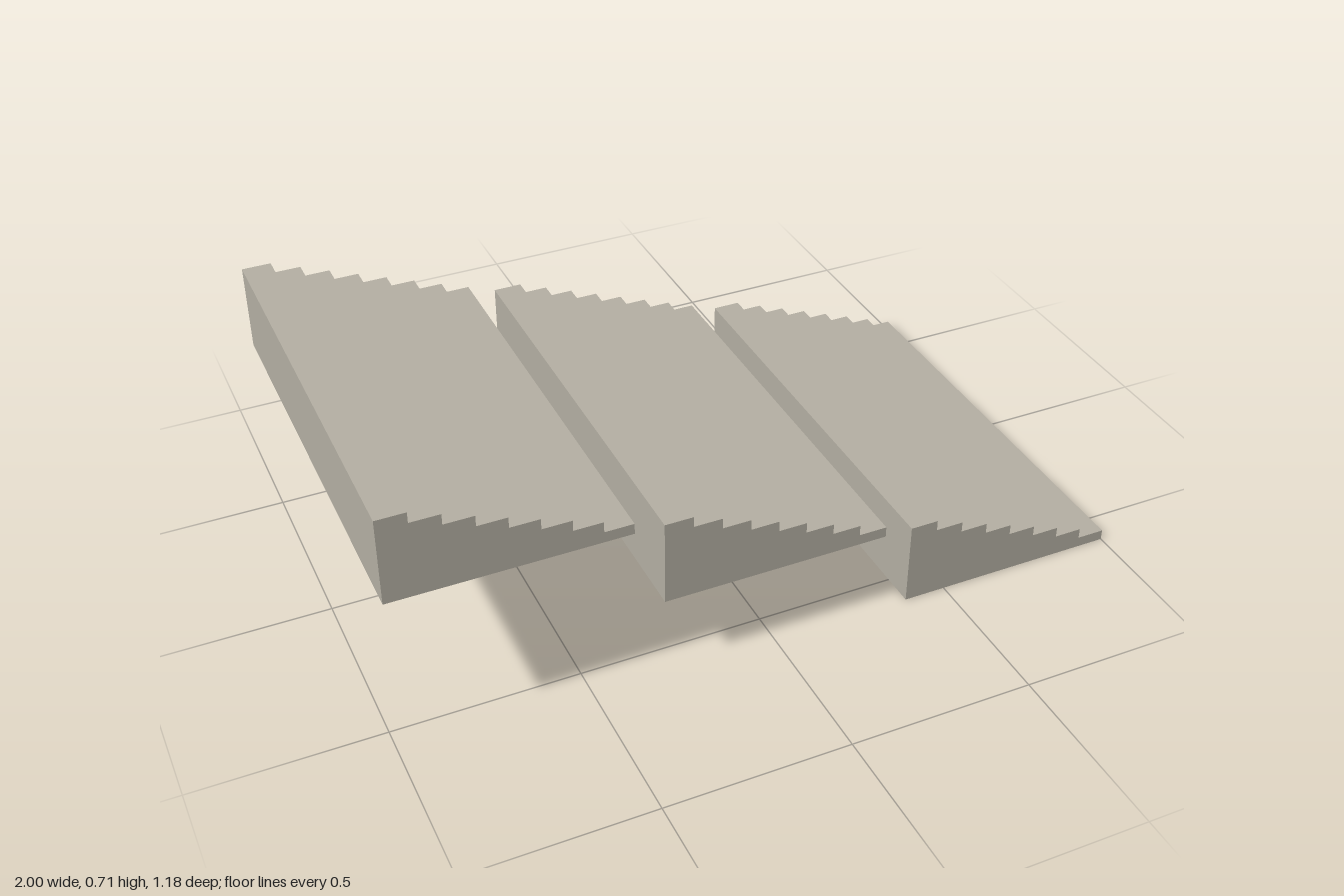
import * as THREE from 'three';

const STEPS = 8, FLIGHTS = 3;
const TREAD = 2 / 26;      // 24 treads plus two gaps one tread wide
const RISE = 0.711 / 24;
const DEPTH = 1.18;

// Solid stepped block, high on the -x side and descending towards +x
function flightGeometry() {
  const s = new THREE.Shape();
  s.moveTo(0, 0);
  s.lineTo(STEPS * TREAD, 0);
  for (let i = 1; i <= STEPS; i++) {
    s.lineTo((STEPS - i + 1) * TREAD, i * RISE);
    s.lineTo((STEPS - i) * TREAD, i * RISE);
  }
  s.closePath();
  const g = new THREE.ExtrudeGeometry(s, { depth: DEPTH, bevelEnabled: false });
  return g.translate(0, 0, -DEPTH / 2);
}

export function createModel() {
  const model = new THREE.Group();
  model.name = 'steppedFlights';
  const stone = new THREE.MeshStandardMaterial({ color: 0xb3aea2 });
  stone.name = 'warm grey stone';

  // Three separate flights, each starting at the height where the last ends
  const geometry = flightGeometry();
  ['upperFlight', 'middleFlight', 'lowerFlight'].forEach((name, i) => {
    const flight = new THREE.Mesh(geometry, stone);
    flight.name = name;
    flight.position.set(-1 + i * (STEPS + 1) * TREAD, (FLIGHTS - 1 - i) * STEPS * RISE, 0);
    model.add(flight);
  });
  return model;
}
